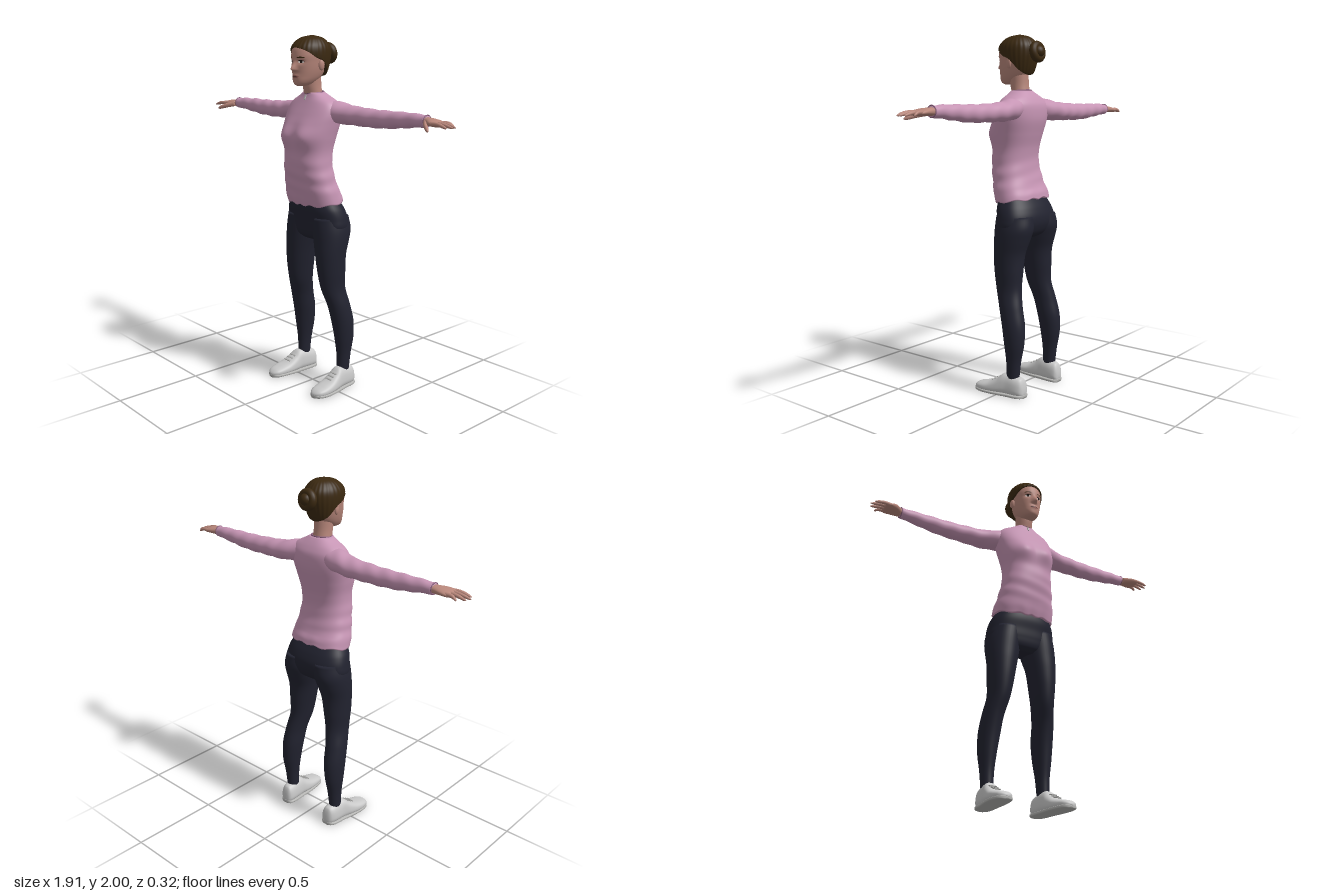
import * as THREE from 'three';

const mat = (name, color) => Object.assign(new THREE.MeshStandardMaterial({ color }), { name });
const M = {
  skin: mat('skin', 0xb8877b), hair: mat('hair brown', 0x3b2911), pink: mat('sweater pink', 0xc695b4),
  trim: mat('trim mauve', 0x8a5f7c), navy: mat('legging navy', 0x222330), shoe: mat('shoe grey', 0xc9c9c9),
  sole: mat('sole grey', 0xb4b4b2), lips: mat('lip rose', 0x9a625c), white: mat('eye white', 0xd8d0cc),
  dark: mat('iris dark', 0x241a16),
};

// Smooth interpolation of a table of rows keyed by their first column
function at(rows, t) {
  let i = 0;
  while (i < rows.length - 2 && t > rows[i + 1][0]) i++;
  const a = rows[i], b = rows[i + 1], p = rows[i - 1] || a, n = rows[i + 2] || b, h = b[0] - a[0];
  const k = THREE.MathUtils.clamp((t - a[0]) / h, 0, 1), k2 = k * k, k3 = k2 * k;
  return a.map((_, c) => {
    const m0 = (b[c] - p[c]) / (b[0] - p[0]) * h, m1 = (n[c] - a[c]) / (n[0] - a[0]) * h;
    return (2 * k3 - 3 * k2 + 1) * a[c] + (k3 - 2 * k2 + k) * m0 + (3 * k2 - 2 * k3) * b[c] + (k3 - k2) * m1;
  });
}

// Closed tube surface from f(angle, v) with capped ends, always wound outward
function surface(f, nu, nv, s = 1) {
  const P = [], idx = [];
  for (let j = 0; j <= nv; j++) for (let i = 0; i < nu; i++) {
    const p = f(i / nu * Math.PI * 2, j / nv);
    p.x *= s;
    P.push(p);
  }
  for (let j = 0; j < nv; j++) for (let i = 0; i < nu; i++) {
    const a = j * nu + i, b = j * nu + (i + 1) % nu;
    idx.push(a, a + nu, b, b, a + nu, b + nu);
  }
  for (const j of [0, nv]) {
    const ring = P.slice(j * nu, j * nu + nu), c = P.length;
    P.push(ring.reduce((q, p) => q.add(p), new THREE.Vector3()).divideScalar(nu));
    for (let i = 0; i < nu; i++) {
      const a = j * nu + i, b = j * nu + (i + 1) % nu;
      idx.push(c, j ? b : a, j ? a : b);
    }
  }
  let volume = 0;
  const w = new THREE.Vector3();
  for (let i = 0; i < idx.length; i += 3) volume += w.crossVectors(P[idx[i]], P[idx[i + 1]]).dot(P[idx[i + 2]]);
  if (volume < 0) idx.reverse();
  const g = new THREE.BufferGeometry().setFromPoints(P);
  g.setIndex(idx);
  g.computeVertexNormals();
  return g;
}

const pw = (v, e) => Math.sign(v) * Math.abs(v) ** (2 / e);
// Rows: [position on axis, centre, half width, far side, near side]
function loft(axis, rows, { e = 2, n = 40, m = 48, s = 1, tweak } = {}) {
  const t0 = rows[0][0], t1 = rows[rows.length - 1][0];
  return surface((u, v) => {
    const [t, c, h, f, b] = at(rows, t0 + (t1 - t0) * v);
    const A = c + h * pw(Math.cos(u), e), B = (f + b) / 2 + (f - b) / 2 * pw(Math.sin(u), e);
    const p = axis === 'y' ? new THREE.Vector3(A, t, B) : axis === 'x' ? new THREE.Vector3(t, A, B) : new THREE.Vector3(A, B, t);
    if (tweak) tweak(p);
    return p;
  }, n, m, s);
}

const bell = (x, y, cx, cy, sx, sy) => Math.exp(-(((x - cx) / sx) ** 2) - ((y - cy) / sy) ** 2);

const sweater = [[1.088, 0, .183, .092, -.13], [1.13, 0, .18, .108, -.122], [1.2, 0, .165, .125, -.095], [1.3, 0, .148, .142, -.075],
  [1.38, 0, .146, .14, -.08], [1.46, 0, .16, .147, -.1], [1.53, 0, .172, .125, -.117], [1.58, 0, .178, .1, -.12],
  [1.62, 0, .172, .078, -.115], [1.65, 0, .148, .062, -.1], [1.675, 0, .1, .05, -.082], [1.697, 0, .062, .043, -.062]];
const sleeve = [[.08, 1.6, .06, .03, -.1], [.17, 1.592, .058, .025, -.118], [.25, 1.583, .052, .003, -.124], [.35, 1.579, .049, -.007, -.116],
  [.45, 1.577, .047, -.015, -.112], [.55, 1.58, .044, -.022, -.11], [.65, 1.586, .038, -.03, -.104], [.77, 1.591, .029, -.033, -.094]];
const pelvis = [[.875, 0, .08, .03, -.07], [.9, 0, .17, .055, -.12], [.95, 0, .205, .068, -.15], [1, 0, .204, .074, -.155],
  [1.05, 0, .192, .082, -.14], [1.09, 0, .172, .08, -.118], [1.13, 0, .15, .07, -.09]];
const leg = [[.1, .172, .032, -.045, -.12], [.2, .172, .038, -.043, -.132], [.3, .171, .05, -.03, -.15], [.4, .166, .058, -.013, -.15],
  [.5, .158, .058, .012, -.128], [.6, .14, .061, .045, -.107], [.7, .133, .072, .062, -.109], [.8, .126, .083, .069, -.116],
  [.88, .118, .094, .07, -.142], [.94, .111, .098, .07, -.159], [1.01, .1, .095, .068, -.152]];
const shoe = [[-.16, .166, .02, .06, .012], [-.15, .167, .036, .1, .004], [-.12, .17, .046, .115, .002], [-.06, .174, .049, .127, .002],
  [-.03, .178, .051, .124, .002], [0, .181, .054, .1, .002], [.05, .186, .056, .071, .002], [.1, .19, .053, .056, .002],
  [.14, .19, .042, .045, .004], [.158, .189, .026, .034, .01], [.165, .188, .012, .026, .014]];
const head = [[1.733, 0, .02, .105, .06], [1.742, 0, .038, .12, .02], [1.76, 0, .053, .126, -.015], [1.785, 0, .065, .125, -.045],
  [1.82, 0, .075, .126, -.065], [1.86, 0, .081, .128, -.08], [1.9, 0, .084, .128, -.085], [1.94, 0, .078, .115, -.083],
  [1.965, 0, .058, .085, -.06], [1.985, 0, .02, .03, -.02]];
const neck = [[1.62, 0, .06, .04, -.06], [1.68, 0, .053, .045, -.055], [1.73, 0, .05, .057, -.048], [1.79, 0, .052, .065, -.045]];
const hair = [[1.76, 0, .058, .03, -.05], [1.8, 0, .078, .07, -.076], [1.85, 0, .093, .11, -.095], [1.9, 0, .099, .131, -.105],
  [1.94, 0, .095, .126, -.101], [1.97, 0, .077, .1, -.079], [1.99, 0, .05, .065, -.05], [2, 0, .012, .02, -.008]];
const hairline = [[-1, 1.782], [-.5, 1.81], [0, 1.868], [.35, 1.885], [.7, 1.915], [1, 1.936]];
const palm = [[.74, 1.592, .021, -.038, -.09], [.78, 1.59, .02, -.03, -.094], [.82, 1.588, .018, -.006, -.099], [.855, 1.584, .014, -.002, -.098], [.872, 1.582, .008, -.01, -.09]];

// Relief of nose, lips and eye sockets
function relief(x, y) {
  const nose = .031 * bell(x, y, 0, 1.822, .0145, y < 1.822 ? .009 : .031);
  const lips = .006 * bell(x, y, 0, 1.784, .024, .013);
  return nose + lips - .008 * bell(Math.abs(x), y, .037, 1.862, .018, .013);
}
const HEAD_E = 2.2;
function faceZ(x, y) {
  const [, , h, f, b] = at(head, y);
  return (f + b) / 2 + (f - b) / 2 * (1 - Math.min(1, Math.abs(x / h)) ** HEAD_E) ** (1 / HEAD_E) + relief(x, y);
}

// Thin oval patch that follows the face
function facePatch(cx, cy, rx, ry, lift, bend = 0) {
  const g = new THREE.RingGeometry(0, 1, 24, 4), p = g.attributes.position;
  for (let i = 0; i < p.count; i++) {
    const u = p.getX(i), x = cx + u * rx, y = cy + p.getY(i) * ry - bend * u * u;
    p.setXYZ(i, x, y, faceZ(x, y) + lift);
  }
  g.computeVertexNormals();
  return g;
}

// Tapered finger along a curve
function finger(points, r, s) {
  const curve = new THREE.CatmullRomCurve3(points.map(p => new THREE.Vector3(...p)));
  return surface((u, v) => {
    const k = r * (1 - .3 * v) * Math.sqrt(Math.max(.03, 1 - v ** 8));
    return curve.getPoint(v).add(new THREE.Vector3(0, k * Math.cos(u), k * Math.sin(u)));
  }, 12, 16, s);
}

export function createModel() {
  const model = new THREE.Group();
  model.name = 'woman';
  const add = (name, geometry, material, parent = model) => {
    const mesh = new THREE.Mesh(geometry, material);
    mesh.name = name;
    parent.add(mesh);
    return mesh;
  };

  // Sweater body with bust, waist folds and an uneven hem
  add('sweater', loft('y', sweater, { e: 2.4, n: 72, m: 90, tweak: p => {
    if (p.z > 0) p.z += .02 * bell(Math.abs(p.x), p.y, .075, 1.465, .055, .06);
    const fold = 1 + .013 * Math.sin(p.y * 75 + p.x * 14 + p.z * 9) * bell(0, p.y, 0, 1.22, 1, .1);
    p.x *= fold;
    p.z *= fold;
    const w = THREE.MathUtils.clamp((1.16 - p.y) / .07, 0, 1);
    p.y += w * (-p.z * .12 + .005 * Math.sin(9 * Math.atan2(p.z, p.x)));
  } }), M.pink);
  const collar = add('collarTrim', new THREE.TorusGeometry(.057, .004, 8, 40), M.trim);
  collar.rotation.x = Math.PI / 2 + .08;
  collar.position.set(0, 1.696, -.008);
  collar.scale.y = .92;
  const zip = add('zipTab', new THREE.BoxGeometry(.008, .028, .006), M.sole);
  zip.position.set(0, 1.67, .055);
  zip.rotation.x = -.4;

  // Leggings
  add('hips', loft('y', pelvis, { e: 2.3, n: 56 }), M.navy);

  for (const s of [1, -1]) {
    const side = s > 0 ? 'left' : 'right';
    // Arm
    add(side + 'Sleeve', loft('x', sleeve, { s, m: 70, tweak: p => {
      p.y += .002 * Math.sin(p.x * 60 + p.z * 40);
    } }), M.pink);
    const cuff = add(side + 'Cuff', new THREE.TorusGeometry(.029, .003, 8, 28), M.trim);
    cuff.rotation.y = Math.PI / 2;
    cuff.position.set(s * .768, 1.591, -.0635);

    // Hand
    const hand = new THREE.Group();
    hand.name = side + 'Hand';
    model.add(hand);
    add('palm', loft('x', palm, { s, e: 2.3, m: 24 }), M.skin, hand);
    for (const [z, tipX, tipZ] of [[-.014, .938, -.004], [-.037, .953, -.033], [-.06, .945, -.062], [-.084, .912, -.092]])
      add('finger', finger([[.835, 1.586, z], [.885, 1.586, (z + tipZ) / 2], [tipX, 1.573, tipZ]], .0115, s), M.skin, hand);
    add('thumb', finger([[.775, 1.586, -.042], [.815, 1.573, .002], [.858, 1.556, .034]], .0165, s), M.skin, hand);

    // Leg and shoe
    add(side + 'Leg', loft('y', leg, { s, m: 70 }), M.navy);
    add(side + 'Shoe', loft('z', shoe, { s, e: 2.6, m: 60, tweak: p => {
      const c = at(shoe, p.z)[1];
      p.x = c + (p.x - c) * (1 - 2.4 * Math.max(0, p.y - .03));
    } }), M.shoe);
    add(side + 'Sole', loft('z', shoe.map(([z, c, h]) => [z, c, h + .003, .02, 0]), { s, e: 4, m: 40 }), M.sole);
    for (const [z, y] of [[.002, .1], [.022, .088], [.042, .077]]) {
      const lace = add(side + 'Lace', new THREE.BoxGeometry(.045, .006, .007), M.sole);
      lace.position.set(s * .183, y, z);
      lace.rotation.x = .55;
    }

    // Ear, eye and eyebrow
    const ear = add(side + 'Ear', new THREE.SphereGeometry(1, 20, 14), M.skin);
    ear.scale.set(.01, .029, .018);
    ear.position.set(s * .086, 1.845, .012);
    ear.rotation.y = s * -.3;
    add(side + 'Eye', facePatch(s * .037, 1.861, .015, .0065, .0015), M.white);
    add(side + 'Iris', facePatch(s * .037, 1.861, .0065, .0065, .0028), M.dark);
    add(side + 'Lid', facePatch(s * .037, 1.869, .017, .0022, .003, .004), M.dark);
    add(side + 'Eyebrow', facePatch(s * .038, 1.886, .02, .003, .002, .003), M.hair);
  }

  // Head and neck
  add('neck', loft('y', neck, { m: 20 }), M.skin);
  add('head', loft('y', head, { e: HEAD_E, n: 112, m: 96, tweak: p => {
    if (p.z > .04) p.z += relief(p.x, p.y);
  } }), M.skin);
  add('mouth', facePatch(0, 1.784, .026, .008, .0015), M.lips);
  add('mouthLine', facePatch(0, 1.785, .024, .0013, .0025), M.dark);

  // Hair combed back, its edge tucked in along the hairline
  add('hair', surface((u, v) => {
    const low = at(hairline, Math.sin(u))[1];
    const y = low + (2 - low) * Math.sin(Math.max(0, v - .03) / .97 * Math.PI / 2);
    const [, , h, f, b] = at(hair, y);
    const k = v === 0 ? .86 : 1 + .009 * Math.sin(u * 26);
    return new THREE.Vector3(h * k * Math.cos(u), y, (f + b) / 2 + (f - b) / 2 * k * Math.sin(u));
  }, 156, 40), M.hair);

  // Bun
  const bun = new THREE.Group();
  bun.name = 'bun';
  bun.position.set(0, 1.905, -.118);
  bun.rotation.x = .15;
  model.add(bun);
  add('bunCoil', new THREE.TorusGeometry(.036, .023, 16, 40), M.hair, bun);
  const core = add('bunCore', new THREE.SphereGeometry(.034, 24, 16), M.hair, bun);
  core.position.z = -.008;
  return model;
}
